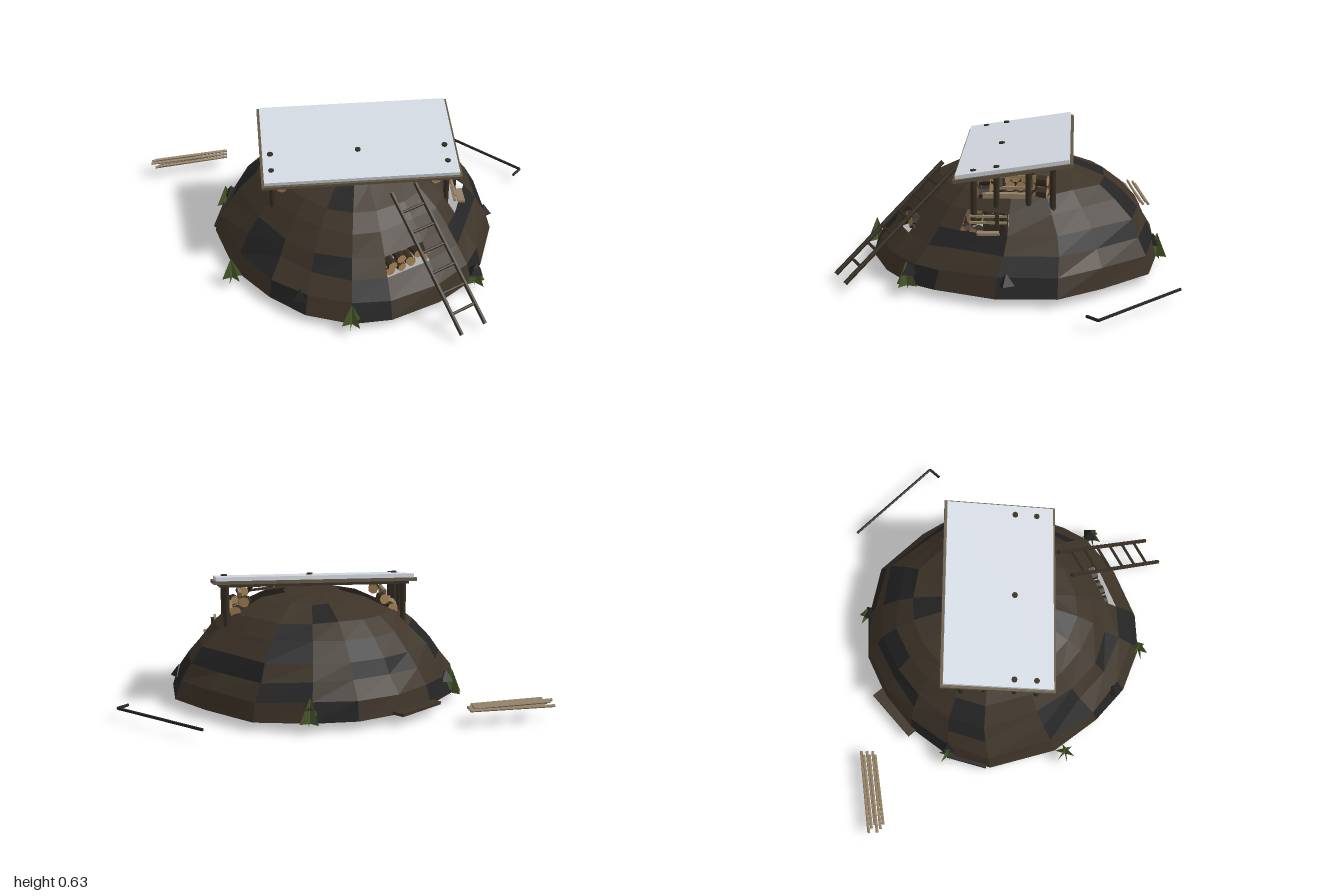
import * as THREE from 'three';

const mat = (name, color, extra = {}) => {
  const m = new THREE.MeshStandardMaterial({ color, flatShading: true, ...extra });
  m.name = name;
  return m;
};

export function createModel() {
  const root = new THREE.Group();
  root.name = 'earthShelter';
  const earth = mat('earth', 0x3d3328, { side: THREE.DoubleSide });
  const darkEarth = mat('darkEarth', 0x242425, { side: THREE.DoubleSide });
  const bark = mat('bark', 0x352d22);
  const cut = mat('cutWood', 0xa98256);
  const plank = mat('plank', 0x635844);
  const pale = mat('paleWood', 0x938165);
  const panel = mat('roofPanel', 0xd3d9e1);
  const iron = mat('iron', 0x232323);
  const stone = mat('stoneFloor', 0xbfc3c8);
  const leaf = mat('leaf', 0x4a5a2b, { side: THREE.DoubleSide });

  let seed = 11;
  const rnd = () => (seed = (seed * 16807) % 2147483647) / 2147483647;
  const V = (x, y, z) => new THREE.Vector3(x, y, z);
  const CX = 0.06, CZ = -0.02;

  const add = (name, geo, m, x = 0, y = 0, z = 0, parent = root) => {
    const o = new THREE.Mesh(geo, m);
    o.name = name;
    o.position.set(x, y, z);
    parent.add(o);
    return o;
  };
  const box = (name, m, w, h, d, x, y, z, parent) => add(name, new THREE.BoxGeometry(w, h, d), m, x, y, z, parent);
  const rod = (name, m, a, b, r, sides = 6, parent = root) => {
    const d = b.clone().sub(a), mid = a.clone().add(b).multiplyScalar(0.5);
    const o = add(name, new THREE.CylinderGeometry(r, r, d.length(), sides), m, mid.x, mid.y, mid.z, parent);
    o.quaternion.setFromUnitVectors(V(0, 1, 0), d.normalize());
    return o;
  };

  // Mound: one ground outline scaled up through rings, with openings left out
  const outline = [[-.03, .67], [.16, .66], [.4, .56], [.57, .43], [.64, .31], [.74, .03], [.73, -.25], [.59, -.45], [.39, -.67],
    [.13, -.72], [-.08, -.71], [-.29, -.61], [-.45, -.48], [-.59, -.29], [-.65, -.08], [-.56, .24], [-.4, .45], [-.24, .59]];
  const rings = [[1, .04, 0], [.965, .13, -.01], [.87, .21, -.03], [.8, .285, -.04], [.69, .37, -.04],
    [.575, .435, -.04], [.37, .493, -.03], [.2, .515, -.02], [0, .522, -.02]];
  const n = outline.length, last = rings.length - 1;
  const grid = rings.map(([f, y, shift], k) => outline.map(([x, z]) => {
    const inner = k > 0 && k < last;
    const s = f * (inner ? 0.985 + rnd() * 0.03 : 1);
    return V(CX + (x - CX) * s, y + (inner ? (rnd() - .5) * .012 : 0), CZ + (z - CZ) * s + shift);
  }));
  const openings = new Set(['2,1', '3,4', '5,4', '5,5', '6,4', '6,5', '5,13', '5,14', '6,13', '6,14']);
  const darkFaces = new Set(['0,0', '1,0', '0,3', '0,5', '1,5', '0,9', '0,12', '0,16', '1,8', '1,15', '2,17', '2,3', '2,4',
    '2,6', '2,7', '2,10', '2,11', '2,13', '2,15', '3,8', '3,13', '3,10', '4,8', '5,9', '5,17']);
  const patches = { earth: [], dark: [] };
  for (let k = 0; k < last; k++) for (let i = 0; i < n; i++) {
    const key = k + ',' + i, j = (i + 1) % n;
    if (openings.has(key)) continue;
    const [a, b, c, d] = [grid[k][i], grid[k][j], grid[k + 1][j], grid[k + 1][i]];
    const list = darkFaces.has(key) ? patches.dark : patches.earth;
    list.push(a, b, c);
    if (k < last - 1) list.push(a, c, d);
  }
  for (const [key, m] of [['earth', earth], ['dark', darkEarth]]) {
    const g = new THREE.BufferGeometry().setFromPoints(patches[key]);
    g.computeVertexNormals();
    add(key + 'Mound', g, m);
  }

  // Loose slabs at the foot of the mound
  box('earthSlab', earth, .28, .014, .09, -.36, .05, -.55).rotation.y = .72;
  box('darkSlab', darkEarth, .2, .014, .07, -.595, .05, -.19).rotation.y = 1.3;

  // Sloping roof: frame, pale panel, cross beams
  const roof = new THREE.Group();
  roof.name = 'roof';
  roof.position.set(.065, .56, -.04);
  roof.rotation.x = .157;
  root.add(roof);
  box('roofFrame', plank, .95, .016, .545, 0, 0, 0, roof);
  box('roofPanel', panel, .925, .018, .52, 0, .017, 0, roof);
  for (const z of [-.18, .08]) box('roofBeam', bark, .9, .015, .025, 0, -.015, z, roof);

  // Roof posts, some reaching through the panel
  for (const x of [CX - .42, CX + .42]) for (const [z, top] of [[.14, .562], [.035, .582], [-.11, .57], [-.22, .585]])
    rod('roofPost', bark, V(x, .3, z), V(x, top, z), .014, 8);
  rod('centrePost', bark, V(CX, .06, .035), V(CX, .582, .035), .014, 8);

  // Cordwood wall inside the mound
  const wall = new THREE.Group();
  wall.name = 'cordwoodWall';
  root.add(wall);
  const log = (p, dir, r, len) => rod('wallLog', [bark, cut, cut],
    p.clone().addScaledVector(dir, -len / 2), p.clone().addScaledVector(dir, len / 2), r, 7, wall);
  for (let row = 0; row < 6; row++) {
    const y = .085 + row * .054, R = row < 4 ? .4 : .37 - (row - 4) * .02;
    for (let i = 0; i < 42; i++) {
      const t = (i + (row % 2) / 2) / 42 * Math.PI * 2, dir = V(Math.sin(t), 0, Math.cos(t));
      const sideGap = row >= 3 && Math.abs(t - 1.4) < .24;
      if (sideGap || rnd() < .13) continue;
      log(V(CX + dir.x * R, y, -.04 + dir.z * R), dir, .022 + rnd() * .008, .06);
    }
  }
  // Logs stacked in the front window
  for (let i = 0; i < 5; i++)
    log(V(.17 + i * .042, .228 + (i % 2) * .026, .47 - i * .016), V(.35, 0, 1).normalize(), .024, .06);
  // Logs, sills and frames in the upper side openings
  for (const s of [-1, 1]) {
    for (const z of [.1, -.17]) {
      log(V(CX + s * .37, .44, z), V(.25 * s, 0, Math.sign(z)).normalize(), .028, .05);
      log(V(CX + s * .33, .487, z), V(.25 * s, 0, Math.sign(z)).normalize(), .026, .05);
    }
    box('openingSill', pale, .03, .022, .22, CX + s * .4, .436, -.01);
    for (const y of [.457, .512]) box('openingRail', pale, .014, .012, .15, CX + s * .35, y, -.05);
    for (const z of [.02, -.12]) box('openingJamb', plank, .014, .07, .014, CX + s * .35, .484, z);
  }
  for (let i = 0; i < 10; i++) {
    const t = i / 10 * Math.PI * 2 + .2;
    rod('wallPost', bark, V(CX + Math.sin(t) * .36, .05, -.04 + Math.cos(t) * .36), V(CX + Math.sin(t) * .34, .4, -.04 + Math.cos(t) * .34), .013);
  }
  // Frames for the lower side window
  box('sideWindowSill', pale, .035, .012, .1, .565, .288, .07);
  for (const y of [.325, .355]) box('sideWindowRail', pale, .012, .01, .17, .525, y, .07);
  box('sideWindowJamb', bark, .016, .09, .016, .54, .325, .03);

  // Stone floor with timber strips above and below
  add('floor', new THREE.CylinderGeometry(.355, .355, .012, 24), stone, CX, .046, -.04);
  for (let i = 0; i < 26; i++) {
    const t = rnd() * Math.PI * 2, r = Math.sqrt(rnd()) * .29;
    const s = box('floorStrip', i % 3 ? iron : bark, .06 + rnd() * .11, .018, .006 + rnd() * .006, CX + Math.sin(t) * r, .046, -.04 + Math.cos(t) * r);
    s.rotation.y = rnd() * 3;
  }
  box('hatch', plank, .16, .026, .08, .1, .047, -.02).rotation.y = .4;
  for (const [x, z] of [[.26, -.355], [.45, .11], [.45, .055]]) box('footing', iron, .15, .036, .048, x, .018, z);

  // Plain furniture
  box('tableTop', plank, .2, .015, .12, .0, .16, -.14);
  for (const x of [-.08, .08]) for (const z of [-.18, -.1]) box('tableLeg', bark, .014, .11, .014, x, .105, z);
  box('chest', bark, .12, .08, .08, -.12, .095, .1);
  box('stove', iron, .09, .13, .09, .26, .12, -.24);

  // Ladder leaning on the front
  const ladder = new THREE.Group();
  ladder.name = 'ladder';
  root.add(ladder);
  const rails = [[V(.465, .04, .79), V(.19, .515, .31)], [V(.585, .04, .725), V(.31, .515, .245)]];
  for (const [a, b] of rails) rod('ladderRail', bark, a, b, .011, 6, ladder);
  for (let i = 1; i < 7; i++) {
    const [a, b] = rails.map(([p, q]) => p.clone().lerp(q, i / 7));
    rod('ladderRung', bark, a, b, .007, 6, ladder);
  }

  // Small firs made of crossed upright triangles
  const firShape = new THREE.Shape([new THREE.Vector2(-.05, 0), new THREE.Vector2(.05, 0), new THREE.Vector2(0, .12)]);
  const firGeo = new THREE.ShapeGeometry(firShape);
  for (const [x, z] of [[-.575, .29], [-.03, .67], [.59, .44], [.14, -.72], [-.59, -.29]])
    for (let i = 0; i < 3; i++) add('fir', firGeo, leaf, x, .04, z).rotation.y = i * Math.PI / 3 + .25;

  // Dark boulders half sunk in the slope
  for (const [x, y, z] of [[.71, .125, -.02], [-.26, .125, .53], [.59, .125, .43], [.14, .13, -.7], [-.56, .13, -.29]])
    add('boulder', new THREE.ConeGeometry(.042, .055, 4), iron, x, y, z).rotation.y = x * 4;

  // Pile of poles lying behind
  for (let i = 0; i < 6; i++) {
    const z = -.665 + i * .014;
    rod('pole', pale, V(-.985 + (i % 3) * .02, .07 + (i % 2) * .016, z), V(-.58 - (i % 2) * .02, .075 + (i % 2) * .008, z - .055), .007);
  }
  // Hooked iron bar
  rod('hookBar', iron, V(.613, .055, -.8), V(.99, .055, -.425), .007);
  rod('hookTip', iron, V(.99, .055, -.425), V(.945, .055, -.375), .007);

  return root;
}
